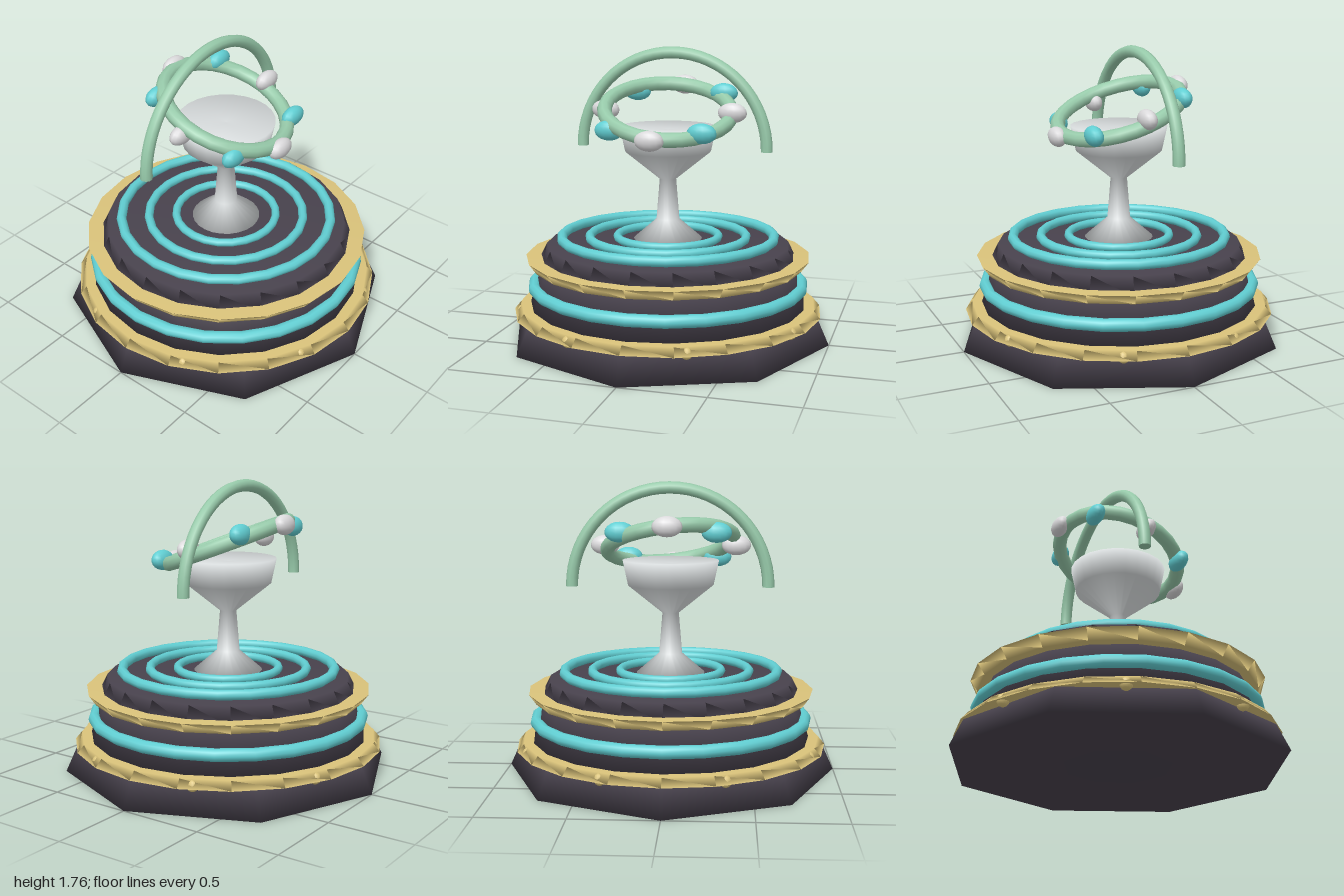
import * as THREE from 'three';

const mat = (name, color) => {
  const m = new THREE.MeshStandardMaterial({ color });
  m.name = name;
  return m;
};

export function createModel() {
  const model = new THREE.Group();
  model.name = 'chaliceFountain';
  const dark = mat('darkStone', 0x48424d);
  const gold = mat('gold', 0xd9c27a);
  const teal = mat('teal', 0x61ced2);
  const green = mat('paleGreen', 0x97caaa);
  const silver = mat('silver', 0xd6dadb);
  const pearl = mat('pearl', 0xdad9db);

  const add = (name, geometry, material, x = 0, y = 0, z = 0) => {
    const mesh = new THREE.Mesh(geometry, material);
    mesh.name = name;
    mesh.position.set(x, y, z);
    model.add(mesh);
    return mesh;
  };
  const lathe = (pts, sides) =>
    new THREE.LatheGeometry(pts.map(([x, y]) => new THREE.Vector2(x, y)), sides);
  // Closed tapering tier with softly shaded rims
  const tier = (r0, y0, r1, y1, sides) =>
    lathe([[0, y0], [r0, y0], [r1, y1], [0, y1]], sides);
  const flatRing = (r, tube, sides = 24) =>
    new THREE.TorusGeometry(r, tube, 10, sides).rotateX(Math.PI / 2);

  // Octagonal plinth and two round tiers
  add('plinth', tier(1, 0, 0.926, 0.165, 8), dark);
  add('middleTier', tier(0.85, 0.19, 0.77, 0.45, 20), dark);
  add('topTier', tier(0.79, 0.47, 0.74, 0.57, 20), dark);

  // Gold bands closing the tiers
  add('lowerBand', tier(0.945, 0.158, 0.905, 0.205, 20), gold);
  add('upperBand', tier(0.825, 0.44, 0.868, 0.5, 20), gold);

  // Studs under the lower band, one on each plinth face
  for (let i = 0; i < 8; i++) {
    const a = (i + 0.5) * Math.PI / 4;
    add('stud', new THREE.SphereGeometry(0.036, 10, 8), gold,
      0.89 * Math.cos(a), 0.166, 0.89 * Math.sin(a));
  }

  // Teal rings: one round the middle tier, three above the top
  add('tierRing', flatRing(0.822, 0.037), teal, 0, 0.32, 0);
  [[0.65, 0.03], [0.48, 0.027], [0.31, 0.025]].forEach(([r, t]) =>
    add('topRing', flatRing(r, t), teal, 0, 0.61, 0));

  // Chalice: foot, stem, cup and its shallow inside in one profile
  add('chalice', lathe([[0, 0.575], [0.208, 0.597], [0.07, 0.718], [0.05, 0.965],
    [0.26, 1.135], [0.292, 1.285], [0, 1.265]], 24), silver);

  // Arch standing behind the cup
  add('arch', new THREE.TorusGeometry(0.585, 0.036, 10, 32, Math.PI), green, 0, 1.135, -0.105);
  for (const s of [-1, 1])
    add('archEnd', new THREE.CircleGeometry(0.036, 10).rotateX(Math.PI / 2), green,
      s * 0.585, 1.135, -0.105);

  // Tilted halo ring
  const halo = add('halo', flatRing(0.382, 0.044, 28), green, 0, 1.38, 0);
  halo.rotation.set(0.34, 0, -0.12);

  // Alternating jewels around the halo
  for (let i = 0; i < 8; i++) {
    const a = i * Math.PI / 4;
    const jewel = add('jewel', new THREE.SphereGeometry(1, 14, 10), i % 2 ? teal : pearl,
      0.395 * Math.cos(a), 1.375 - 0.132 * Math.sin(a), 0.395 * Math.sin(a));
    jewel.scale.set(0.088, 0.06, 0.05);
    jewel.rotation.x = 0.2;
  }
  return model;
}
